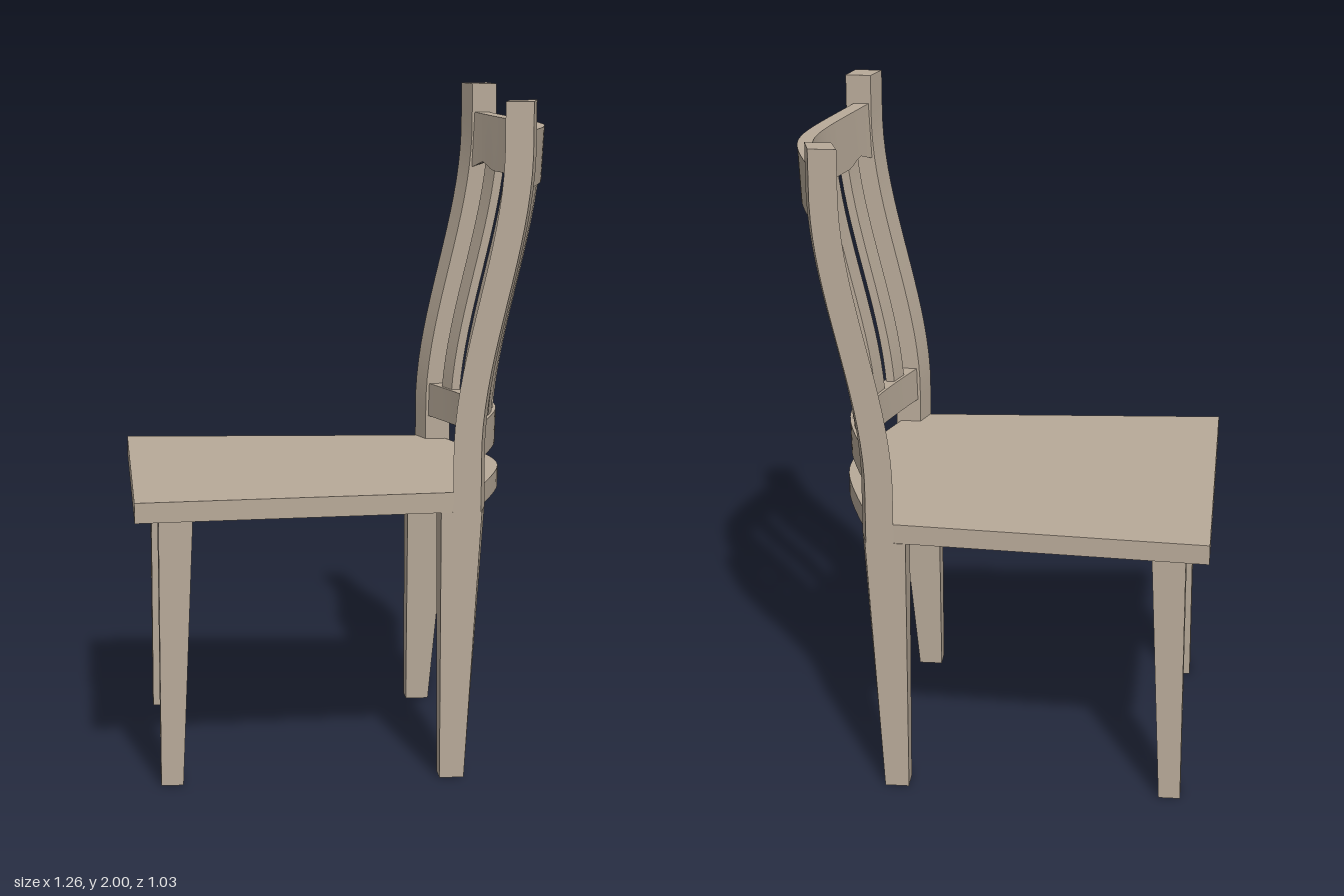
import * as THREE from 'three';
import { toCreasedNormals } from 'three/addons/utils/BufferGeometryUtils.js';

const wood = new THREE.MeshStandardMaterial({ color: 0xb8aa99 });
wood.name = 'wood';

// Backward lean of the backrest at height y, and its bow across z
const lean = (y) => 0.142 * THREE.MathUtils.smoothstep(y, 0.97, 1.87);
const bow = (z) => -0.406 * (Math.hypot(z, 0.15) - 0.15);
const steps = (a, b, n) => Array.from({ length: n + 1 }, (_, i) => a + ((b - a) * i) / n);

// Closed solid through a list of rings, each a list of [x, y, z]
function loft(rings) {
  const n = rings[0].length;
  let tris = [];
  for (let r = 0; r + 1 < rings.length; r++) {
    for (let i = 0; i < n; i++) {
      const j = (i + 1) % n, a = rings[r], b = rings[r + 1];
      tris.push([a[i], a[j], b[j]], [a[i], b[j], b[i]]);
    }
  }
  const first = rings[0], last = rings[rings.length - 1];
  for (let i = 1; i + 1 < n; i++) {
    tris.push([first[0], first[i + 1], first[i]], [last[0], last[i], last[i + 1]]);
  }
  // turn the faces outward
  const volume = tris.reduce((sum, t) => {
    const [a, b, c] = t.map((p) => new THREE.Vector3(...p));
    return sum + a.dot(b.cross(c));
  }, 0);
  if (volume < 0) tris = tris.map(([a, b, c]) => [a, c, b]);
  const g = new THREE.BufferGeometry();
  g.setAttribute('position', new THREE.Float32BufferAttribute(tris.flat(2), 3));
  return toCreasedNormals(g, 0.5);
}

// Bowed rail: four-cornered sections swept across z
function rail(zs, bottomFront, bottomBack, top, half) {
  return loft(zs.map((z) => {
    const x = (y, side) => 0.4625 + lean(y) + bow(z) + side * half;
    const f = bottomFront(z), b = bottomBack(z), t = top(z);
    return [[x(f, -1), f, z], [x(b, 1), b, z], [x(t, 1), t, z], [x(t, -1), t, z]];
  }));
}

// Slat: bowed section swept up along the lean
function slat(z0, z1, n) {
  const zs = steps(z0, z1, n);
  return loft(steps(1.03, 1.775, 14).map((y) => {
    const at = (side) => (z) => [0.4625 + lean(y) + bow(z) + side * 0.013, y, z];
    return [...zs.map(at(-1)), ...zs.slice().reverse().map(at(1))];
  }));
}

export function createModel() {
  const model = new THREE.Group();
  model.name = 'chair';
  const add = (name, geometry) => {
    const mesh = new THREE.Mesh(geometry, wood);
    mesh.name = name;
    model.add(mesh);
  };

  // Seat: tapered sides and a bowed back edge
  const outline = [[-0.63, -0.516], [0.38, -0.446]];
  for (const z of steps(-0.4, 0.4, 24)) outline.push([0.495 + bow(z), z]);
  outline.push([0.38, 0.446], [-0.63, 0.516]);
  const shape = new THREE.Shape(outline.map(([x, z]) => new THREE.Vector2(x, -z)));
  const seat = new THREE.ExtrudeGeometry(shape, { depth: 0.06, bevelEnabled: false });
  seat.rotateX(-Math.PI / 2).translate(0, 0.805, 0);
  add('seat', toCreasedNormals(seat, 0.5));

  for (const s of [1, -1]) {
    const side = s > 0 ? 'left' : 'right';

    // Front leg, tapering on its inner and rear faces
    const legRing = (y, x0, xOut, xIn, zIn) =>
      [[x0, y, s * 0.455], [xOut, y, s * 0.455], [xIn, y, s * zIn], [x0, y, s * zIn]];
    add(side + 'FrontLeg', loft([
      legRing(0, -0.56, -0.495, -0.495, 0.387), legRing(0.806, -0.56, -0.46, -0.46, 0.35)]));
    add(side + 'BackLeg', loft([
      legRing(0, 0.265, 0.337, 0.337, 0.387), legRing(0.806, 0.265, 0.385, 0.408, 0.35)]));

    // Back post: slanted section following the lean
    add(side + 'BackPost', loft([0.806, ...steps(0.96, 2, 20)].map((y) => {
      const d = lean(y);
      return [[0.3 + d, y, s * 0.455], [0.382 + d, y, s * 0.455],
        [0.402 + d, y, s * 0.385], [0.325 + d, y, s * 0.385]];
    })));

    // Narrow slats
    add(side + 'InnerSlat', slat(s * 0.133, s * 0.198, 2));
    add(side + 'OuterSlat', slat(s * 0.261, s * 0.323, 2));
  }
  add('centreSlat', slat(-0.069, 0.069, 8));

  // Lower rail and crest rail between the posts
  const across = steps(-0.4, 0.4, 32);
  add('lowerRail', rail(across, () => 0.94, () => 0.94, () => 1.045, 0.0225));
  const ramp = (z) => 0.025 * THREE.MathUtils.clamp((Math.abs(z) - 0.26) / 0.06, 0, 1);
  const dip = (z) => 0.025 * THREE.MathUtils.clamp((Math.abs(z) - 0.32) / 0.065, 0, 1);
  add('crestRail', rail(across, (z) => 1.737 + ramp(z) - dip(z), (z) => 1.737 + ramp(z),
    (z) => 1.902 + 0.06 * z * z, 0.0225));
  return model;
}
